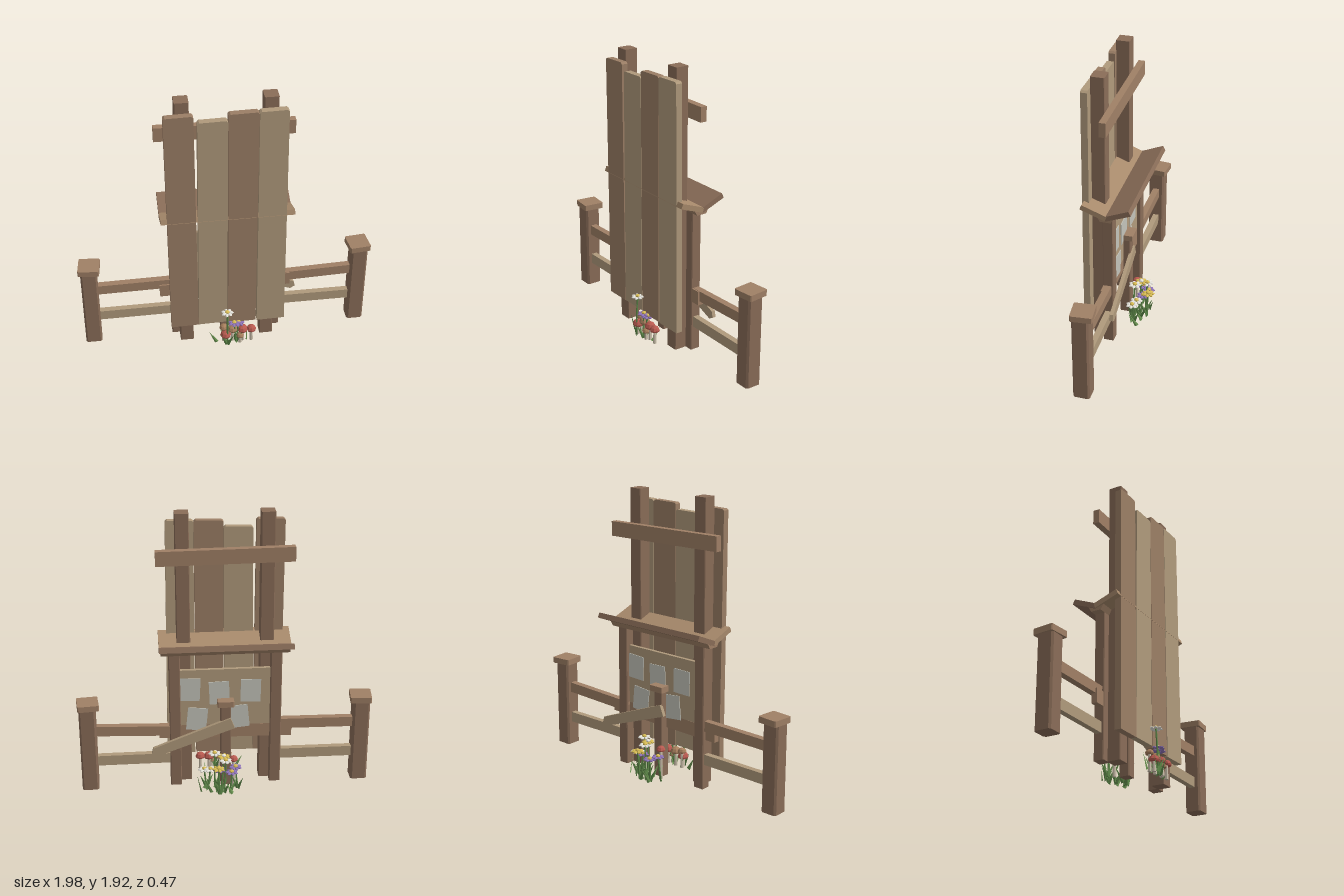
import * as THREE from 'three';

const mats = {};
const mat = (color) => (mats[color] ??= new THREE.MeshStandardMaterial({ color, flatShading: true, side: THREE.DoubleSide }));
const MID = 0x9c7f66, LIGHT = 0xb09a7c, DARK = 0x8a6d58, RAIL = 0xa08066;
const GREEN = 0x5f8a4a, WHITE = 0xe6e4dc, YELLOW = 0xd9bd55, PURPLE = 0x8f74b8, RED = 0xb85a50;

export function createModel() {
  const root = new THREE.Group();

  function add(parent, name, geo, color, x = 0, y = 0, z = 0) {
    const m = new THREE.Mesh(geo, mat(color));
    m.name = name;
    m.position.set(x, y, z);
    parent.add(m);
    return m;
  }
  const box = (name, color, w, h, d, x, y, z, parent = root) =>
    add(parent, name, new THREE.BoxGeometry(w, h, d), color, x, y, z);

  const polygon = (pts) => new THREE.Shape(pts.map(([a, b]) => new THREE.Vector2(a, b)));
  const extrude = (pts, depth) => new THREE.ExtrudeGeometry(polygon(pts), { depth, bevelEnabled: false });

  // Upright square timber with chamfered long edges, standing on y0
  function post(name, color, w, d, y0, y1, x, z, chamfer = 0.008) {
    const a = w / 2, b = d / 2, c = chamfer;
    const geo = extrude([[-a + c, -b], [a - c, -b], [a, -b + c], [a, b - c],
      [a - c, b], [-a + c, b], [-a, b - c], [-a, -b + c]], y1 - y0);
    geo.rotateX(-Math.PI / 2);
    return add(root, name, geo, color, x, y0, z);
  }

  // Straight board between two points in the xy plane
  function rail(name, color, x0, y0, x1, y1, h, d, z) {
    const m = box(name, color, Math.hypot(x1 - x0, y1 - y0), h, d, (x0 + x1) / 2, (y0 + y1) / 2, z);
    m.rotation.z = Math.atan2(y1 - y0, x1 - x0);
    return m;
  }

  // Tall front planks: bottom left, bottom right, top left, top right, bottom, top
  const planks = [
    [-0.388, -0.202, -0.397, -0.212, 0.165, 1.837, MID],
    [-0.2, -0.006, -0.19, -0.002, 0.17, 1.79, LIGHT],
    [0, 0.19, 0, 0.19, 0.163, 1.835, MID],
    [0.198, 0.388, 0.192, 0.373, 0.163, 1.838, LIGHT],
  ];
  for (const [bl, br, tl, tr, y0, y1, color] of planks) {
    const c = 0.012;
    const geo = extrude([[bl, y0], [br, y0 + 0.004], [tr, y1 - c], [tr - c, y1], [tl + c, y1 - 0.003], [tl, y1 - c]], 0.044);
    add(root, 'frontPlank', geo, color, 0, 0, 0.12);
  }

  // Tall posts and the cross bars behind the planks
  post('tallPost', DARK, 0.09, 0.09, 0, 1.91, -0.279, 0.075, 0.004);
  post('tallPost', DARK, 0.09, 0.09, 0, 1.91, 0.271, 0.075, 0.004);
  rail('upperCrossBar', RAIL, -0.45, 1.64, 0.443, 1.63, 0.098, 0.044, 0.008);
  rail('lowerCrossBar', RAIL, -0.45, 0.385, 0.443, 0.4, 0.095, 0.04, 0.012);

  // Notice board
  for (const s of [-1, 1]) post('noticeBoardPost', DARK, 0.075, 0.07, 0, 0.97, s * 0.337, 0, 0.005);
  box('noticePanel', LIGHT, 0.6, 0.46, 0.024, 0, 0.62, 0.005);
  const papers = [[0.235, 0.71, 0.05], [0.04, 0.68, -0.04], [-0.17, 0.69, 0.02], [0.19, 0.49, 0.1], [-0.09, 0.5, -0.1]];
  for (const [x, y, tilt] of papers) {
    box('paper', 0xc4c4ba, 0.135, 0.165, 0.005, x, y, -0.011).rotation.z = tilt;
  }

  // V-shaped roof with its beam
  const section = (pts, name, color, half) => {
    const geo = extrude(pts.map(([z, y]) => [-z, y]), half * 2);
    geo.rotateY(Math.PI / 2);
    return add(root, name, geo, color, -half);
  };
  section([[0.152, 1.078], [0.165, 1.046], [0, 0.985], [-0.012, 1.018]], 'frontRoofBoard', 0xa88a6c, 0.435);
  section([[-0.152, 1.082], [-0.167, 1.05], [0, 0.983], [0, 1.018]], 'backRoofBoard', DARK, 0.435);
  section([[0.055, 1.005], [0.035, 0.97], [-0.035, 0.97], [-0.055, 1.005], [0, 0.985]], 'roofBeam', RAIL, 0.425);

  // Fence on both sides
  for (const s of [-1, 1]) {
    const dy = s > 0 ? 0.012 : 0;
    post('fencePost', DARK, 0.112, 0.11, 0, 0.595 + dy, s * 0.92, 0, 0.012);
    const cap = post('fencePostCap', RAIL, 0.142, 0.142, 0.593 + dy, 0.633 + dy, s * 0.915, -0.005, 0.006);
    cap.rotation.y = s * 0.1;
    rail('upperFenceRail', RAIL, s * 0.9, 0.43, s * 0.3, s > 0 ? 0.41 : 0.437, 0.07, 0.045, 0);
    rail('lowerFenceRail', LIGHT, s * 0.9, 0.203, s * 0.3, 0.205, 0.072, 0.04, 0);
  }

  // Small signpost on the back with a sloping pointer board
  post('signPost', DARK, 0.07, 0.07, 0, 0.6, 0, -0.02, 0.005);
  post('signPostCap', RAIL, 0.11, 0.11, 0.6, 0.64, 0, -0.022, 0.005);
  const pointer = add(root, 'pointerBoard', extrude([[-0.1, -0.04], [0.46, -0.03], [0.485, 0], [0.46, 0.035], [-0.1, 0.04]], 0.025),
    LIGHT, 0.048, 0.44, -0.068);
  pointer.rotation.z = -0.37;

  // Flowers: curved stem, ring of petals, centre and two leaves
  const leafShape = () => {
    const g = new THREE.ConeGeometry(0.014, 0.11, 4);
    g.scale(1, 1, 0.3);
    g.translate(0, 0.055, 0);
    return g;
  };
  function flower(x, y, z, petal, centre, i) {
    const g = new THREE.Group();
    g.name = 'flower';
    const lean = 0.02 * Math.sin(i * 2.4);
    const stem = new THREE.CatmullRomCurve3([new THREE.Vector3(lean, 0, 0.01),
      new THREE.Vector3(lean * 0.4, y * 0.5, 0.008), new THREE.Vector3(0, y, 0)]);
    add(g, 'stem', new THREE.TubeGeometry(stem, 4, 0.006, 5), GREEN);
    for (let k = 0; k < 7; k++) {
      const a = (k / 7) * Math.PI * 2;
      const p = add(g, 'petal', new THREE.SphereGeometry(0.017, 6, 4), petal, Math.cos(a) * 0.026, y, Math.sin(a) * 0.026);
      p.scale.set(1.1, 0.45, 0.75);
      p.rotation.y = -a;
    }
    add(g, 'flowerCentre', new THREE.SphereGeometry(0.016, 7, 5), centre, 0, y + 0.008, 0).scale.y = 0.7;
    for (let k = 0; k < 2; k++) {
      const leaf = add(g, 'leaf', leafShape(), GREEN, lean, 0, 0.01);
      leaf.rotation.set(0, i * 1.3 + k * 2.6, 0.45, 'YXZ');
    }
    g.position.set(x, 0, z);
    root.add(g);
  }
  const flowers = [
    [-0.01, 0.28, 0.195, WHITE, YELLOW], [0.04, 0.17, 0.18, PURPLE, YELLOW], [0.07, 0.16, 0.17, PURPLE, YELLOW],
    [0.02, 0.26, -0.13, YELLOW, WHITE], [0.08, 0.27, -0.1, WHITE, YELLOW], [0.06, 0.2, -0.19, YELLOW, YELLOW],
    [0.11, 0.16, -0.12, WHITE, YELLOW], [-0.06, 0.17, -0.12, PURPLE, YELLOW], [-0.03, 0.16, -0.17, PURPLE, YELLOW],
    [0.01, 0.25, -0.17, WHITE, YELLOW], [0.15, 0.15, -0.1, WHITE, YELLOW], [0.05, 0.17, -0.15, PURPLE, YELLOW],
  ];
  flowers.forEach((f, i) => flower(...f, i));

  // Mushrooms: cap profile turned on a pale stalk
  const capProfile = [[0, -0.008], [0.034, -0.012], [0.038, 0], [0.028, 0.02], [0.012, 0.03], [0, 0.032]]
    .map(([r, y]) => new THREE.Vector2(r, y));
  const mushrooms = [
    [-0.02, 0.075, 0.185, RED, 1], [0.1, 0.1, 0.17, RED, 1], [0.16, 0.1, 0.175, RED, 0.9], [0.03, 0.105, 0.165, 0xa8805e, 1],
    [-0.03, 0.12, 0.16, 0xa8805e, 0.8], [0.08, 0.06, 0.19, 0xa8805e, 0.7], [-0.05, 0.21, -0.08, RED, 0.8],
  ];
  for (const [x, y, z, color, size] of mushrooms) {
    add(root, 'mushroomStalk', new THREE.CylinderGeometry(0.009, 0.013, y, 7), 0xcfc3ae, x, y / 2, z);
    add(root, 'mushroomCap', new THREE.LatheGeometry(capProfile, 8), color, x, y, z).scale.setScalar(size);
  }

  // Loose grass blades around both clusters
  for (let i = 0; i < 12; i++) {
    const blade = add(root, 'grassBlade', leafShape(), 0x6f9a55, -0.08 + (i * 0.023), 0, i % 3 ? -0.14 + 0.05 * Math.sin(i * 2) : 0.17);
    blade.rotation.set(0, i * 1.9, 0.5, 'YXZ');
  }
  return root;
}
